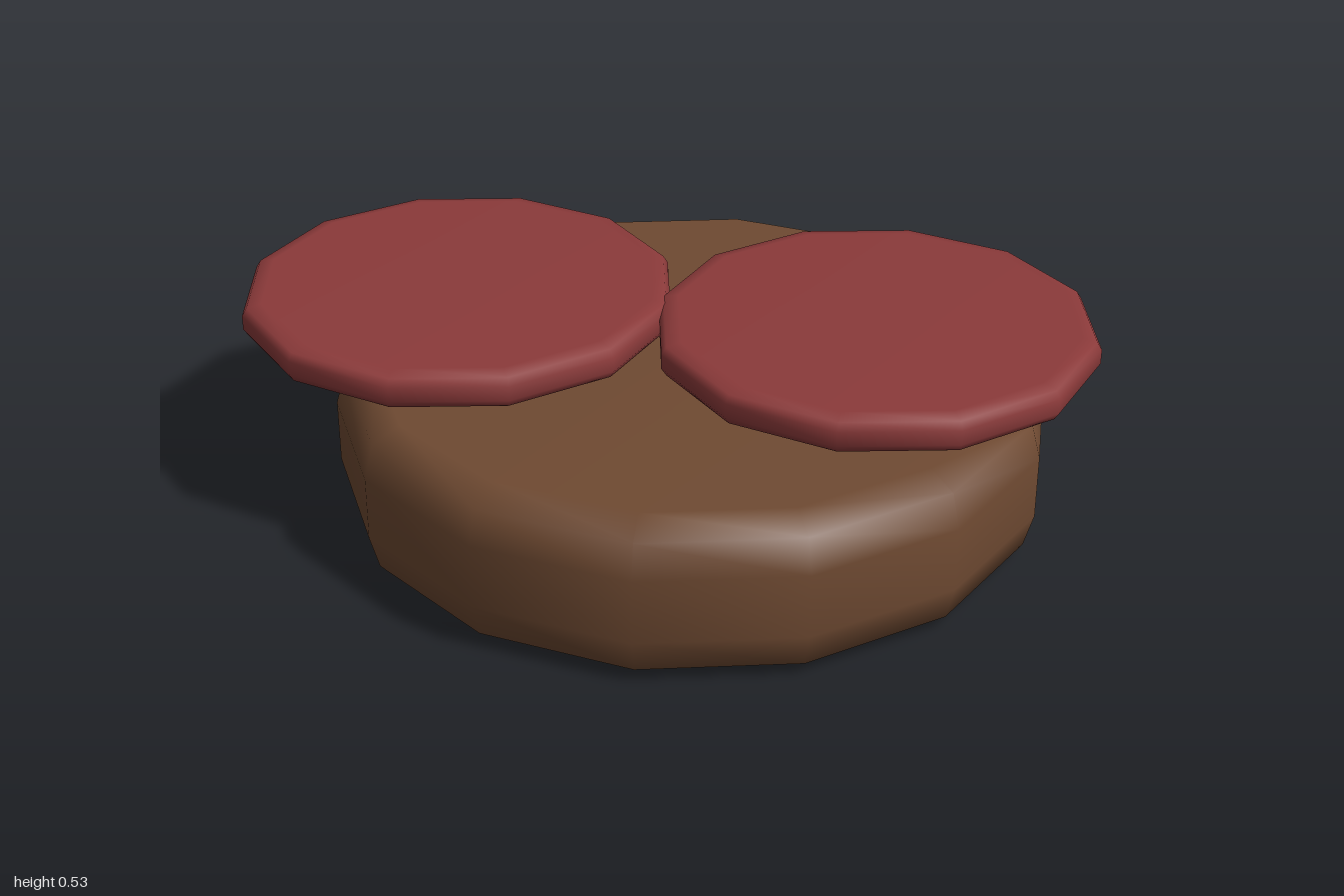
import * as THREE from 'three';

const pattyBrown = new THREE.MeshStandardMaterial({ color: 0x6f4a32 });
pattyBrown.name = 'patty brown';
const sliceRed = new THREE.MeshStandardMaterial({ color: 0x8b3a3a });
sliceRed.name = 'slice red';

// Solid disc with softened rims, turned from a mirrored half profile of [radius, height] points
function softDisc(name, material, sides, height, rim) {
  const lower = [[0, 0], ...rim];
  const upper = lower.map(([r, y]) => [r, height - y]).reverse();
  const profile = [...lower, ...upper].map(([r, y]) => new THREE.Vector2(r, y));
  const mesh = new THREE.Mesh(new THREE.LatheGeometry(profile, sides), material);
  mesh.name = name;
  return mesh;
}

export function createModel() {
  const model = new THREE.Group();
  model.name = 'pattyWithSlices';

  // Thick round patty
  const patty = softDisc('patty', pattyBrown, 14, 0.4, [[0.785, 0], [0.857, 0.035], [0.88, 0.12]]);
  patty.position.set(0.06, 0, 0);
  model.add(patty);

  // Two thin slices hovering just above the patty
  const slices = [['rightSlice', -0.46, -0.29], ['leftSlice', 0.46, 0.197]];
  for (const [name, x, z] of slices) {
    const slice = softDisc(name, sliceRed, 12, 0.09, [[0.49, 0], [0.528, 0.008], [0.54, 0.027]]);
    slice.position.set(x, 0.438, z);
    model.add(slice);
  }
  return model;
}
